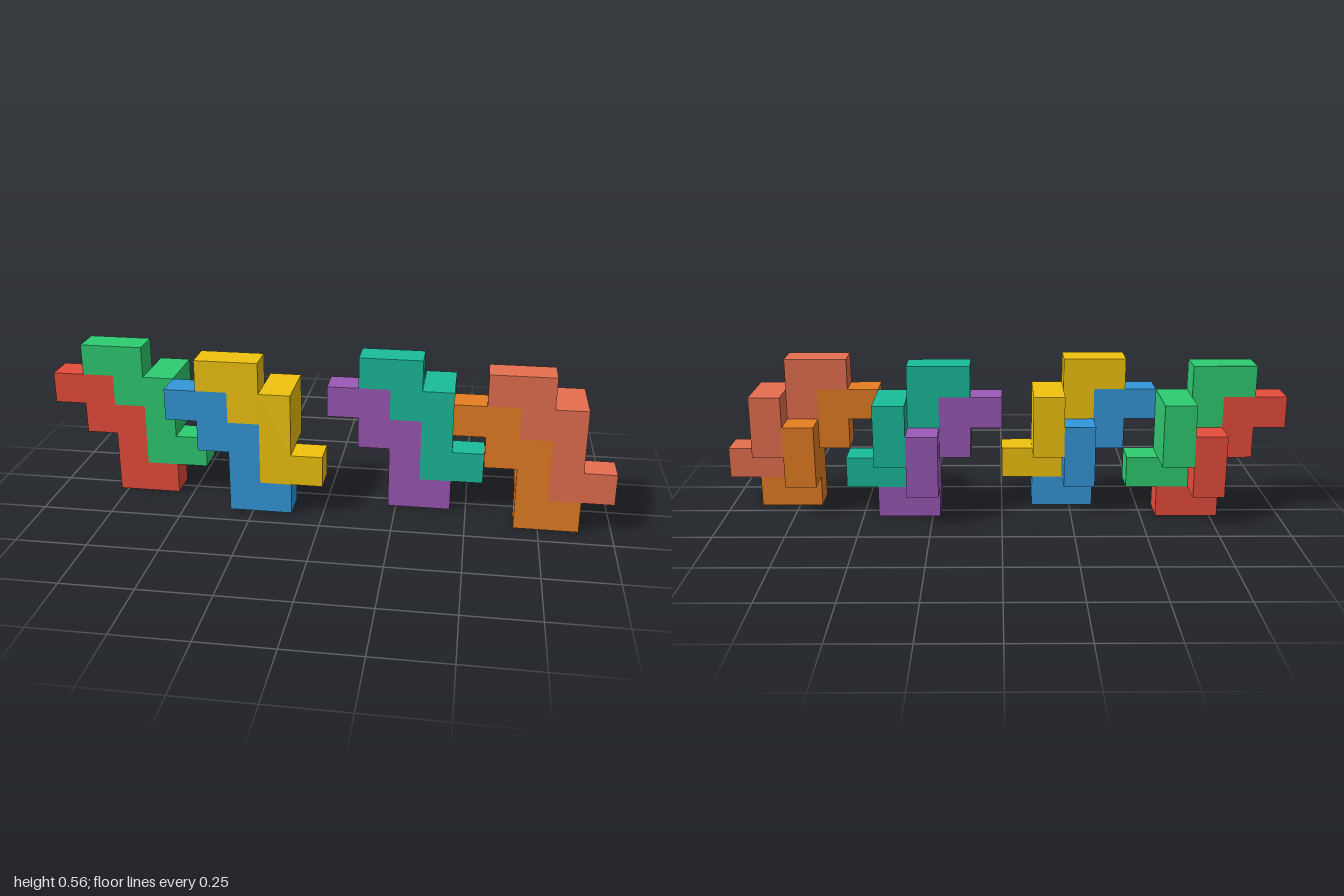
import * as THREE from 'three';

// Edge length of one cube cell; the row of pieces is 18 cells long
const U = 2 / 18;

// Stepped front outline of one piece, in cells
const OUTLINE = [
  [2, 0], [4, 0], [4, 1], [3, 1], [3, 3], [2, 3],
  [2, 4], [0, 4], [0, 3], [1, 3], [1, 2], [2, 2],
];

// One puzzle piece: a zigzag slab one cell deep with a two-cell column behind it
function createPiece(name, color) {
  const piece = new THREE.Group();
  piece.name = name;
  const material = new THREE.MeshStandardMaterial({ color });

  const shape = new THREE.Shape(OUTLINE.map(([x, y]) => new THREE.Vector2(x * U, y * U)));
  const slab = new THREE.Mesh(
    new THREE.ExtrudeGeometry(shape, { depth: U, bevelEnabled: false }), material);
  slab.name = 'steppedSlab';
  slab.position.z = -U / 2;

  const column = new THREE.Mesh(new THREE.BoxGeometry(U, 2 * U, U), material);
  column.name = 'backColumn';
  column.position.set(2.5 * U, 2 * U, -U);

  piece.add(slab, column);
  return piece;
}

export function createModel() {
  const model = new THREE.Group();
  model.name = 'interlockingPieces';

  // Each pair: start cell in x, layer in z, lower and upper piece
  const pairs = [
    [0, 0, ['red', 0xe74c3c], ['green', 0x2ecc71]],
    [4, 1, ['blue', 0x3498db], ['yellow', 0xf1c40f]],
    [9, 0, ['purple', 0x9b59b6], ['teal', 0x1abc9c]],
    [13, 1, ['orange', 0xe67e22], ['coral', 0xe76f51]],
  ];

  for (const [cell, layer, ...pieces] of pairs) {
    // The upper piece nests one cell right and one cell up
    pieces.forEach(([name, color], i) => {
      const piece = createPiece(name + 'Piece', color);
      piece.position.set(-1 + (cell + i) * U, i * U, layer * U);
      model.add(piece);
    });
  }
  return model;
}
